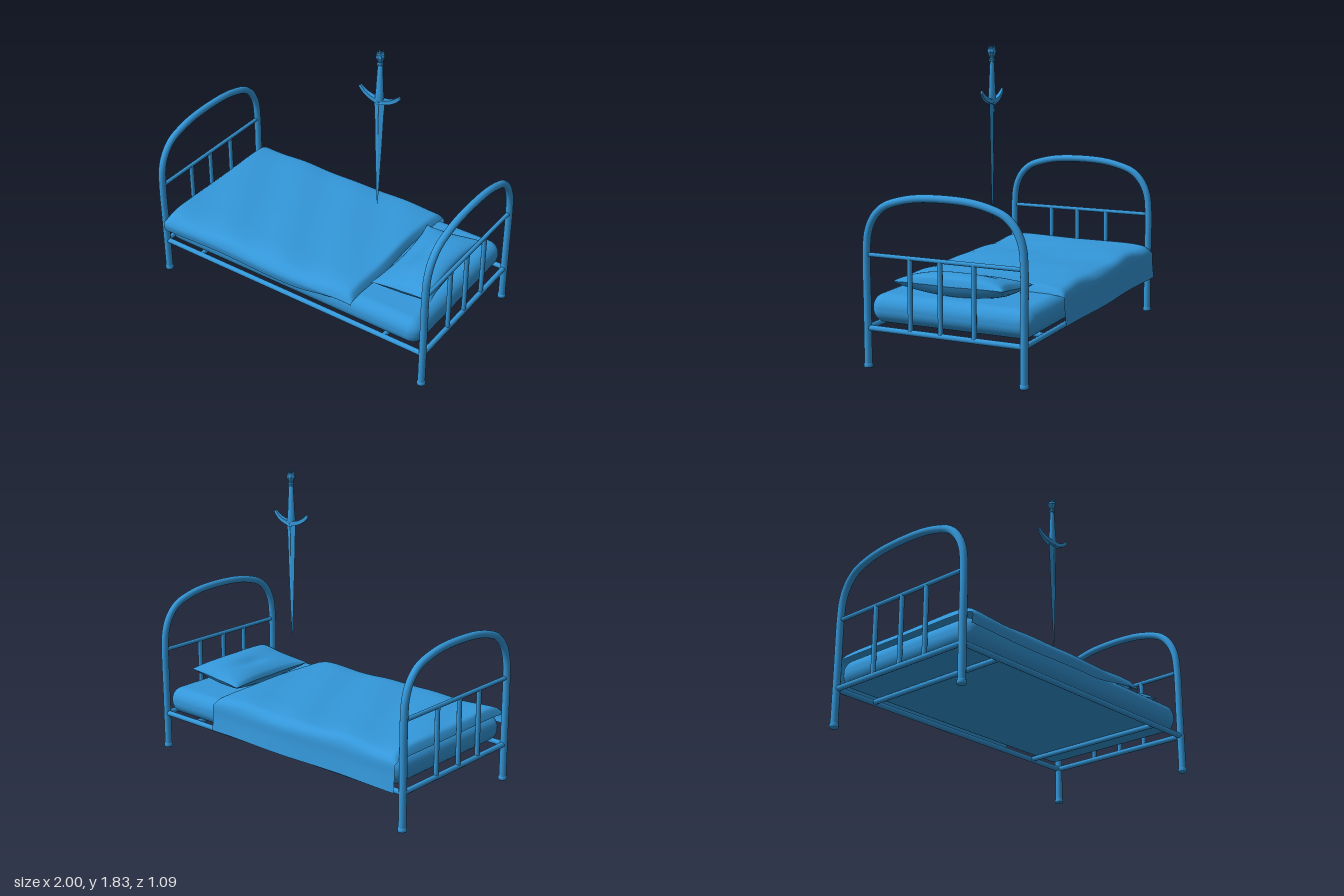
import * as THREE from 'three';
import { RoundedBoxGeometry } from 'three/addons/geometries/RoundedBoxGeometry.js';

const V = (x, y, z) => new THREE.Vector3(x, y, z);
const smooth = new THREE.MeshStandardMaterial({ color: 0x3498db });
const cloth = new THREE.MeshStandardMaterial({ color: 0x3498db, side: THREE.DoubleSide });
const faceted = new THREE.MeshStandardMaterial({ color: 0x3498db, flatShading: true });

function add(parent, name, geometry, material = smooth) {
  const mesh = new THREE.Mesh(geometry, material);
  mesh.name = name;
  parent.add(mesh);
  return mesh;
}

// Round bar between two points
function rod(parent, name, a, b, r) {
  const mesh = add(parent, name, new THREE.CylinderGeometry(r, r, a.distanceTo(b), 12));
  mesh.position.copy(a).add(b).multiplyScalar(0.5);
  mesh.quaternion.setFromUnitVectors(V(0, 1, 0), b.clone().sub(a).normalize());
}

// Grid surface from a function of u, v in 0..1
function surface(nu, nv, f) {
  const g = new THREE.PlaneGeometry(1, 1, nu, nv);
  const p = g.attributes.position;
  for (let i = 0; i < p.count; i++) {
    const q = f(p.getX(i) + 0.5, 0.5 - p.getY(i));
    p.setXYZ(i, q.x, q.y, q.z);
  }
  g.computeVertexNormals();
  return g;
}

// Arched end of the bed: hoop, feet, rails and upright bars
function bedEnd(x) {
  const end = new THREE.Group();
  end.name = x > 0 ? 'headboard' : 'footboard';
  const half = [[0.494, 0], [0.494, 0.35], [0.494, 0.68], [0.482, 0.79], [0.445, 0.875], [0.38, 0.94], [0.28, 0.978], [0.14, 1.003]];
  const pts = [...half.map(([z, y]) => V(x, y, z)), ...half.slice().reverse().map(([z, y]) => V(x, y, -z))];
  add(end, 'archedTube', new THREE.TubeGeometry(new THREE.CatmullRomCurve3(pts), 90, 0.023, 14));
  for (const z of [-0.494, 0.494]) {
    const foot = [[0, 0], [0.024, 0], [0.027, 0.005], [0.027, 0.02], [0.022, 0.026]].map(p => new THREE.Vector2(...p));
    add(end, 'foot', new THREE.LatheGeometry(foot, 14)).position.set(x, 0, z);
  }
  rod(end, 'upperRail', V(x, 0.66, -0.49), V(x, 0.66, 0.49), 0.013);
  rod(end, 'lowerRail', V(x, 0.233, -0.49), V(x, 0.233, 0.49), 0.017);
  for (const z of [-0.19, 0.02, 0.212]) rod(end, 'uprightBar', V(x, 0.233, z), V(x, 0.66, z), 0.015);
  return end;
}

// Draped cover: a cross-section over the mattress swept along x
function blanketPoint(u, v) {
  const x = -0.95 + 1.45 * u;
  const hem = 0.345 + 0.045 * THREE.MathUtils.smoothstep(x, 0.05, 0.45);
  const section = new THREE.CatmullRomCurve3([
    V(0, hem, 0.528), V(0, 0.395, 0.535), V(0, 0.44, 0.505), V(0, 0.462, 0.43), V(0, 0.47, 0.22), V(0, 0.472, 0),
    V(0, 0.47, -0.22), V(0, 0.465, -0.43), V(0, 0.452, -0.495), V(0, 0.415, -0.526), V(0, 0.33, -0.533), V(0, 0.24, -0.542)]);
  const p = section.getPoint(v);
  const top = THREE.MathUtils.smoothstep(p.y, 0.4, 0.47);
  p.y += top * (0.005 * Math.sin(9 * x + 4 * p.z + 2) + 0.004 * Math.sin(15 * x - 8 * p.z));
  p.z += (1 - top) * 0.006 * Math.sin(7 * x + 2) * Math.sign(p.z);
  // Both ends roll down onto the mattress
  const fall = 1 - Math.min(1, (x + 0.95) / 0.05, (0.5 - x) / 0.05);
  p.y -= Math.max(0, p.y - 0.405) * fall ** 3 * 0.75;
  p.x = x + 0.006 * Math.sin(9 * p.z) * u ** 8;
  return p;
}

// Pillow half: pinched corners, bowed-in sides and a soft dent
function pillowPoint(u, v, side) {
  const s = 2 * u - 1, t = 2 * v - 1;
  const x = 0.712 + s * (0.205 - 0.03 * (1 - t * t)) + 0.012 * t;
  const z = 0.013 + t * (0.345 - 0.022 * (1 - s * s));
  const puff = Math.pow((1 - s * s) * (1 - t * t), 0.45);
  let y = 0.477 + 0.02 * s + 0.01 * Math.abs(s * t);
  if (side > 0) {
    const crease = 0.018 * Math.exp(-(((s + 0.2) / 0.25) ** 2) - ((t + 0.15 + 0.4 * s) / 0.4) ** 2);
    y += puff * (0.072 + 0.018 * s) - crease;
  } else y = Math.max(0.421, y - 0.075 * puff);
  return V(x, y, z);
}

function buildDagger() {
  const dagger = new THREE.Group();
  dagger.name = 'dagger';
  const lathe = (name, pts, sides, depth, mat) => {
    const m = add(dagger, name, new THREE.LatheGeometry(pts.map(p => new THREE.Vector2(...p)), sides), mat);
    m.scale.z = depth;
  };
  // Diamond-section blade with a raised central rib
  lathe('blade', [[0, 0.755], [0.006, 0.82], [0.015, 1.0], [0.024, 1.2], [0.031, 1.4], [0.037, 1.475], [0.03, 1.5], [0, 1.5]], 4, 0.25, faceted);
  lathe('bladeRib', [[0, 0.95], [0.005, 1.15], [0.01, 1.49], [0, 1.5]], 4, 1.1, faceted);
  lathe('grip', [[0, 1.48], [0.02, 1.482], [0.03, 1.51], [0.025, 1.56], [0.021, 1.64], [0.015, 1.74], [0, 1.74]], 12, 0.75, smooth);
  lathe('pommel', [[0, 1.725], [0.018, 1.728], [0.02, 1.74], [0.014, 1.75], [0.017, 1.758], [0.029, 1.785], [0.024, 1.803], [0.012, 1.808], [0, 1.805]], 8, 0.95, faceted);
  for (let i = 0; i < 4; i++) {
    const a = i * Math.PI / 2 + Math.PI / 4;
    add(dagger, 'pommelProng', new THREE.ConeGeometry(0.011, 0.04, 4), faceted).position.set(0.017 * Math.cos(a), 1.812, 0.017 * Math.sin(a));
  }
  // Upswept guard, thinning in depth towards flared tips
  const s = new THREE.Shape();
  s.moveTo(0, 1.475);
  s.lineTo(0.025, 1.485);
  s.quadraticCurveTo(0.1, 1.495, 0.143, 1.55);
  s.lineTo(0.13, 1.565);
  s.quadraticCurveTo(0.09, 1.52, 0.025, 1.512);
  s.lineTo(-0.025, 1.512);
  s.quadraticCurveTo(-0.09, 1.52, -0.13, 1.565);
  s.lineTo(-0.143, 1.55);
  s.quadraticCurveTo(-0.1, 1.495, -0.025, 1.485);
  const guard = new THREE.ExtrudeGeometry(s, { depth: 0.04, bevelEnabled: false, curveSegments: 8 }).translate(0, 0, -0.02);
  const p = guard.attributes.position;
  for (let i = 0; i < p.count; i++) p.setZ(i, p.getZ(i) * (1 - 5 * Math.abs(p.getX(i))));
  guard.computeVertexNormals();
  add(dagger, 'crossGuard', guard, faceted);
  dagger.position.set(0.335, 0, 0.015);
  return dagger;
}

export function createModel() {
  const model = new THREE.Group();
  model.name = 'bedWithDagger';
  model.add(bedEnd(0.975), bedEnd(-0.975));

  // Base frame
  for (const z of [-0.494, 0.494]) rod(model, 'sideRail', V(-0.975, 0.233, z), V(0.975, 0.233, z), 0.017);
  for (const x of [-0.69, 0.7]) rod(model, 'crossRail', V(x, 0.233, -0.49), V(x, 0.233, 0.49), 0.016);

  // Bedding
  add(model, 'mattress', new RoundedBoxGeometry(1.895, 0.172, 1.025, 8, 0.08)).position.set(-0.003, 0.335, -0.004);
  add(model, 'blanket', surface(80, 60, blanketPoint), cloth);
  const pillow = new THREE.Group();
  pillow.name = 'pillow';
  add(pillow, 'pillowTop', surface(32, 40, (u, v) => pillowPoint(u, v, 1)), cloth);
  add(pillow, 'pillowUnderside', surface(32, 40, (u, v) => pillowPoint(1 - u, v, -1)), cloth);
  model.add(pillow);

  model.add(buildDagger());
  return model;
}
